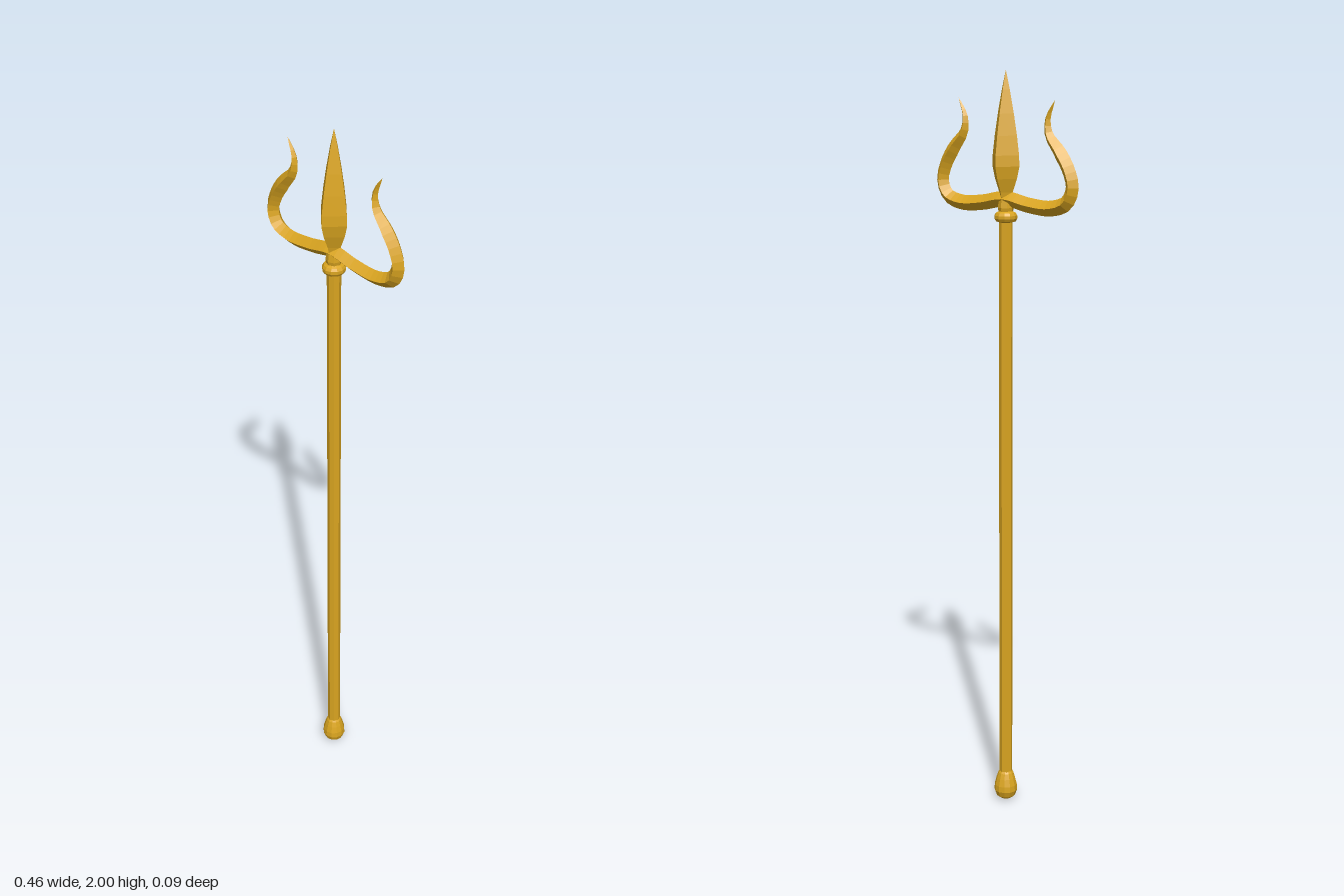
import * as THREE from 'three';

export function createModel() {
  const group = new THREE.Group();
  const gold = new THREE.MeshStandardMaterial({ color: 0xdaa520 });
  gold.name = 'gold';
  gold.flatShading = true;

  const add = (name, geometry) => {
    const mesh = new THREE.Mesh(geometry, gold);
    mesh.name = name;
    group.add(mesh);
    return mesh;
  };
  // Turned part from [radius, height] pairs, listed bottom to top
  const turned = (name, profile, sides) =>
    add(name, new THREE.LatheGeometry(profile.map(([r, y]) => new THREE.Vector2(r, y)), sides));

  // Octagonal pole
  const pole = add('shaft', new THREE.CylinderGeometry(0.018, 0.018, 1.6, 8));
  pole.position.y = 0.85;

  // Drop-shaped foot
  turned('pommel', [[0, 0], [0.015, 0.002], [0.026, 0.01], [0.032, 0.026], [0.031, 0.042],
    [0.026, 0.062], [0.021, 0.077], [0.017, 0.083]], 12);

  // Ring and socket under the fork
  turned('collar', [[0.017, 1.612], [0.026, 1.615], [0.03, 1.622], [0.03, 1.63],
    [0.026, 1.637], [0.018, 1.641]], 12);
  turned('socket', [[0.018, 1.635], [0.021, 1.65], [0.018, 1.675], [0, 1.68]], 8);

  // Four-edged central blade
  turned('centralBlade', [[0, 1.655], [0.016, 1.665], [0.022, 1.69], [0.036, 1.725], [0.044, 1.757],
    [0.043, 1.785], [0.036, 1.835], [0.026, 1.89], [0.013, 1.95], [0, 2]], 4);

  // Curved side prongs: one diamond-section sweep from tip to tip
  const half = [[0.075, 1.66], [0.145, 1.656], [0.193, 1.672], [0.211, 1.71], [0.199, 1.755],
    [0.17, 1.8], [0.138, 1.84], [0.134, 1.88], [0.156, 1.927]];
  const path = [
    ...half.map(([x, y]) => new THREE.Vector3(-x, y, 0)).reverse(),
    new THREE.Vector3(0, 1.673, 0),
    ...half.map(([x, y]) => new THREE.Vector3(x, y, 0)),
  ];
  const curve = new THREE.CatmullRomCurve3(path, false, 'centripetal');
  const steps = 56;
  const prongs = new THREE.TubeGeometry(curve, steps, 0.02, 4);
  const pos = prongs.attributes.position;
  const v = new THREE.Vector3();
  for (let i = 0; i <= steps; i++) {
    // Narrow each end to a point
    const t = i / steps;
    const scale = Math.min(1, Math.pow(Math.min(t, 1 - t) / 0.16, 0.8));
    const centre = curve.getPointAt(t);
    for (let j = 0; j < 5; j++) {
      const k = i * 5 + j;
      v.fromBufferAttribute(pos, k).sub(centre).multiplyScalar(scale).add(centre);
      pos.setXYZ(k, v.x, v.y, v.z);
    }
  }
  prongs.computeVertexNormals();
  add('sideProngs', prongs);

  return group;
}
